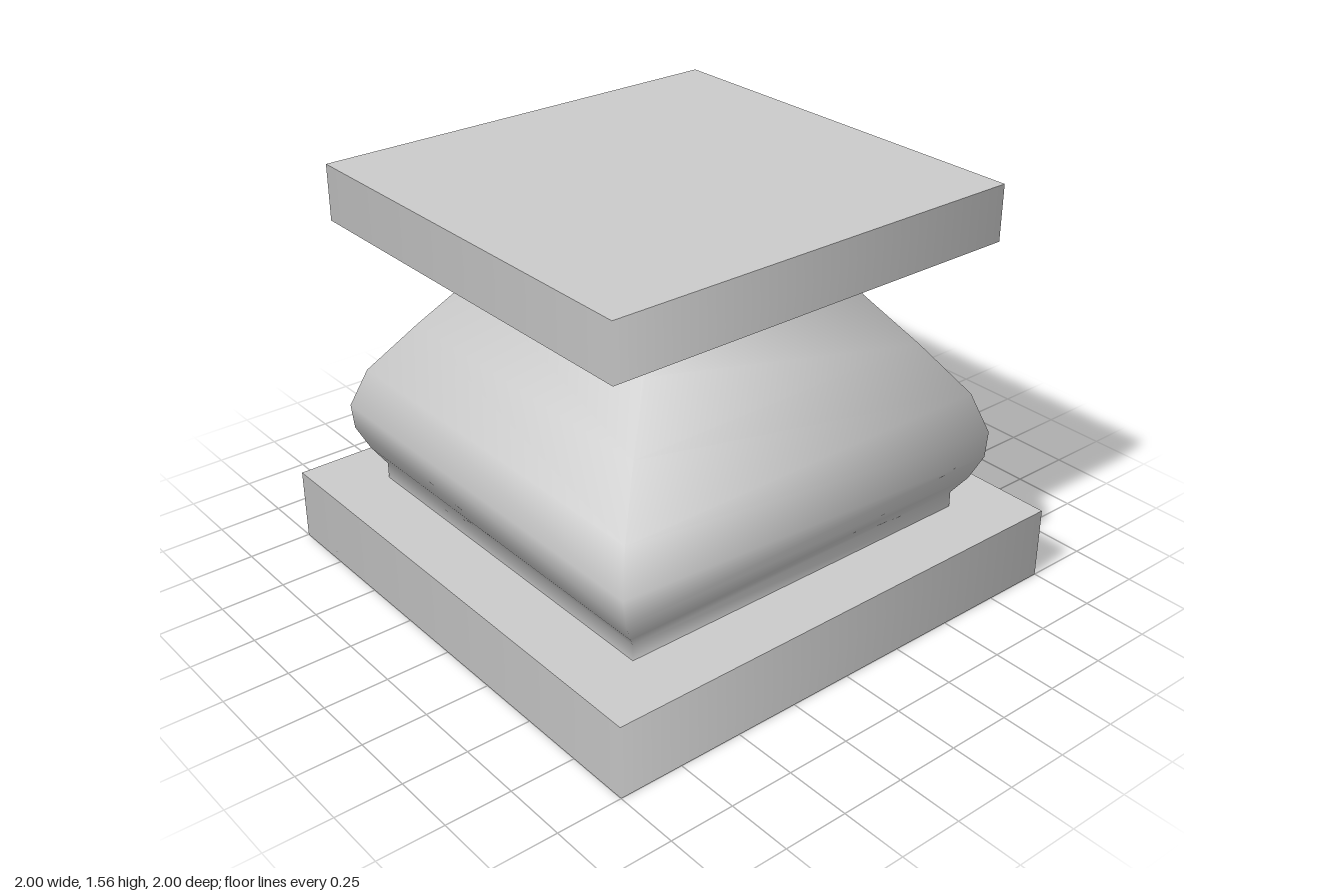
import * as THREE from 'three';

const material = new THREE.MeshStandardMaterial({ color: 0xcccccc });

// Square slab with normals that blend softly around the four corners
function slab(name, halfX, halfZ, y0, y1, z = 0) {
  const geo = new THREE.CylinderGeometry(Math.SQRT2, Math.SQRT2, y1 - y0, 4, 1, false, Math.PI / 4);
  geo.scale(halfX, 1, halfZ);
  geo.translate(0, (y0 + y1) / 2, z);
  const mesh = new THREE.Mesh(geo, material);
  mesh.name = name;
  return mesh;
}

// Square-section bulging body: rows of [half width, half depth, height]
function bulgingBody() {
  const rows = [
    [0.757, 0.757, 0.28], [0.757, 0.757, 0.345], [0.80, 0.80, 0.41],
    [0.842, 0.833, 0.50], [0.853, 0.833, 0.60], [0.80, 0.778, 0.755],
    [0.655, 0.64, 0.95], [0.50, 0.50, 1.14], [0.443, 0.443, 1.255], [0.435, 0.435, 1.35],
  ];
  const points = rows.map(([w, , y]) => new THREE.Vector2(w * Math.SQRT2, y));
  const geo = new THREE.LatheGeometry(points, 4, Math.PI / 4);
  // Make the depth slightly shallower than the width where the rows differ
  const pos = geo.attributes.position;
  for (let i = 0; i < pos.count; i++) {
    const [w, d] = rows[i % rows.length];
    pos.setZ(i, pos.getZ(i) * d / w);
  }
  const mesh = new THREE.Mesh(geo, material);
  mesh.name = 'bulgingBody';
  return mesh;
}

export function createModel() {
  const group = new THREE.Group();
  group.name = 'squarePedestal';
  group.add(
    slab('basePlinth', 1, 1, 0, 0.283),
    bulgingBody(),
    slab('topSlab', 0.853, 0.823, 1.347, 1.562, -0.025),
  );
  return group;
}
